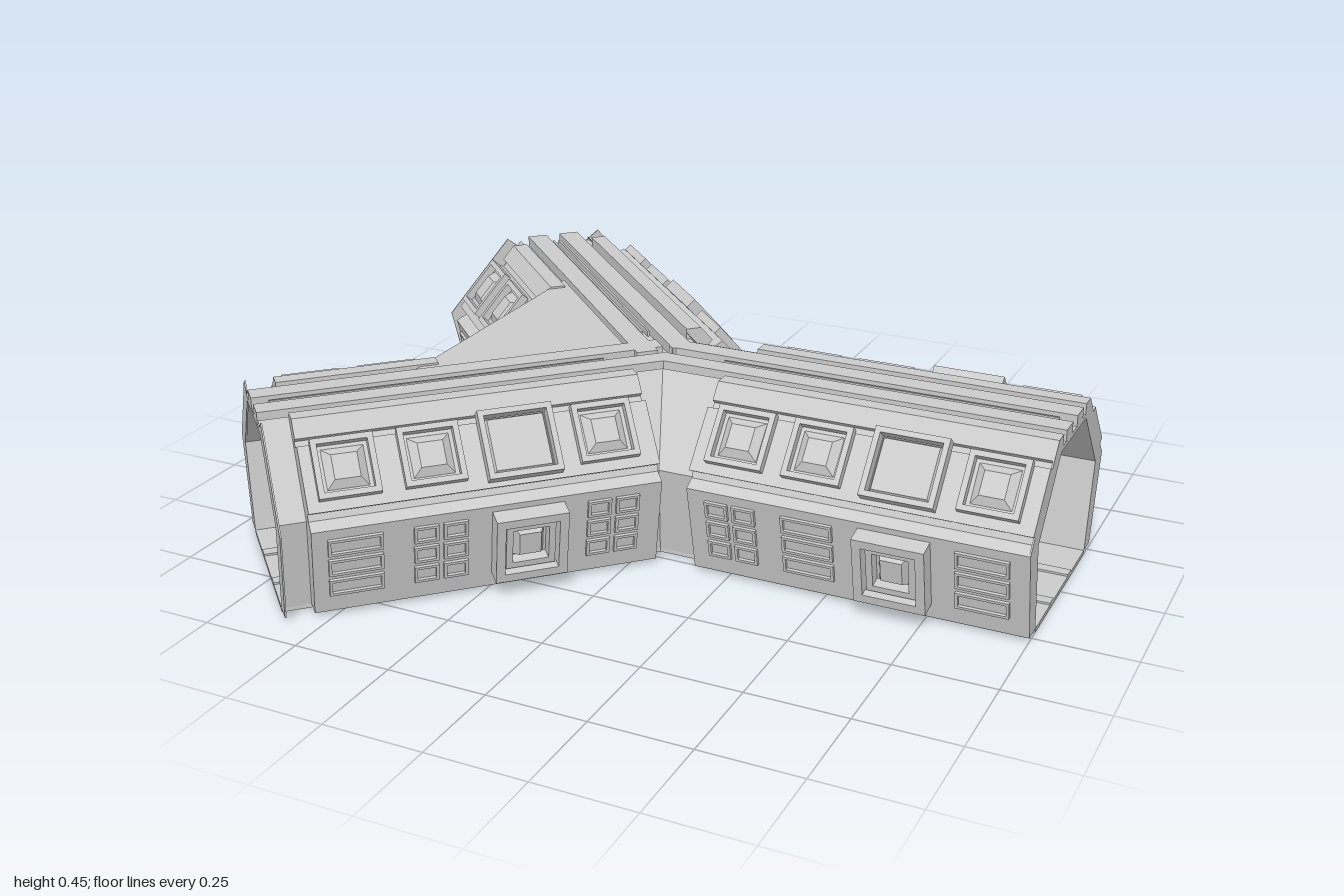
import * as THREE from 'three';

const mat = new THREE.MeshStandardMaterial({ color: 0xcccccc, flatShading: true, side: THREE.DoubleSide });
const R = Math.SQRT1_2;
const HUB = -0.05; // x where the axes of the two slanted arms meet

function add(parent, geo, name) {
  const m = new THREE.Mesh(geo, mat);
  m.name = name;
  parent.add(m);
  return m;
}

function box(parent, name, w, h, d, x, y, z) {
  const m = add(parent, new THREE.BoxGeometry(w, h, d), name);
  m.position.set(x, y, z);
  return m;
}

// Plan outline of the whole Y at half-width w, as [x, z]
function outline(w) {
  const at = (s, t) => [HUB + R * (t - s), R * (s + t)];
  const bx = -0.465 - 0.61 * w;
  const half = [[1, w], [HUB + w * (Math.SQRT2 - 1), w], at(1.03, w), at(1.03, -w),
    [bx, HUB - w * Math.SQRT2 - bx]];
  return [...half, ...half.map(([x, z]) => [x, -z]).reverse()];
}

function plate(parent, name, points, y, depth) {
  const shape = new THREE.Shape(points.map(([x, z]) => new THREE.Vector2(x, -z)));
  const geo = new THREE.ExtrudeGeometry(shape, { depth, bevelEnabled: false });
  geo.rotateX(-Math.PI / 2);
  add(parent, geo, name).position.y = y;
}

// Inner wall skin lofted between three outlines, open at the arm ends
function wallSkin(parent) {
  const levels = [[0.22, 0.01], [0.255, 0.24], [0.1, 0.44]];
  const rings = levels.map(([w, y]) => outline(w).map(([x, z]) => [x, y, z]));
  const pos = [];
  for (let k = 0; k < 2; k++) {
    for (let i = 0; i < 10; i++) {
      if (i === 2 || i === 6 || i === 9) continue;
      const j = (i + 1) % 10;
      const a = rings[k][i], b = rings[k][j], c = rings[k + 1][j], d = rings[k + 1][i];
      pos.push(...a, ...c, ...b, ...a, ...d, ...c);
    }
  }
  const geo = new THREE.BufferGeometry();
  geo.setAttribute('position', new THREE.Float32BufferAttribute(pos, 3));
  geo.computeVertexNormals();
  add(parent, geo, 'innerWall');
}

// Extrude a [z, y] section along the arm from s0 to s1
function alongArm(parent, name, section, side, s0, s1) {
  const shape = new THREE.Shape(section.map(([z, y]) => new THREE.Vector2(-side * z, y)));
  const geo = new THREE.ExtrudeGeometry(shape, { depth: s1 - s0, bevelEnabled: false });
  geo.rotateY(Math.PI / 2);
  add(parent, geo, name).position.x = s0;
}

// Group lying on a wall face: x along the arm, y up the face, z outward
function onFace(arm, side, upper, s, v, lift = 0) {
  const [z0, y0, z1, y1] = upper ? [0.32, 0.24, 0.14, 0.45] : [0.27, 0.01, 0.32, 0.24];
  const up = new THREE.Vector3(0, y1 - y0, side * (z1 - z0)).normalize();
  const along = new THREE.Vector3(side, 0, 0);
  const out = along.clone().cross(up);
  const g = new THREE.Group();
  g.matrixAutoUpdate = true;
  g.quaternion.setFromRotationMatrix(new THREE.Matrix4().makeBasis(along, up, out));
  g.position.set(s, y0 + (y1 - y0) * v, side * (z0 + (z1 - z0) * v)).addScaledVector(out, lift);
  arm.add(g);
  return g;
}

function rect(Type, w, h) {
  return new Type([[-1, -1], [1, -1], [1, 1], [-1, 1]].map(([x, y]) => new THREE.Vector2(x * w / 2, y * h / 2)));
}

function frame(parent, w, h, border, depth, z = 0) {
  const shape = rect(THREE.Shape, w, h);
  shape.holes.push(rect(THREE.Path, w - 2 * border, h - 2 * border));
  const geo = new THREE.ExtrudeGeometry(shape, { depth, bevelEnabled: false });
  add(parent, geo, 'panelFrame').position.z = z;
}

// Four-sided raised plate with sloping edges
function raisedPlate(parent, w, h, depth, taper) {
  const geo = new THREE.CylinderGeometry(taper * R, R, 1, 4);
  geo.rotateY(Math.PI / 4).rotateX(Math.PI / 2).scale(w, h, depth);
  add(parent, geo, 'raisedPlate').position.z = depth / 2;
}

function upperPanel(arm, side, s, big) {
  const g = onFace(arm, side, true, s, 0.5, 0.016);
  g.name = 'upperPanel';
  if (big) {
    frame(g, 0.18, 0.17, 0.014, 0.03);
    raisedPlate(g, 0.15, 0.14, 0.016, 0.9);
  } else {
    frame(g, 0.145, 0.145, 0.014, 0.022);
    raisedPlate(g, 0.1, 0.1, 0.018, 0.6);
  }
}

function lowerWindow(arm, side, s) {
  const g = onFace(arm, side, false, s, 0.55);
  g.name = 'lowerWindow';
  frame(g, 0.175, 0.18, 0.022, 0.045);
  frame(g, 0.12, 0.125, 0.016, 0.03);
  raisedPlate(g, 0.075, 0.085, 0.025, 0.7);
}

function lowerSlats(arm, side, s, columns) {
  const g = onFace(arm, side, false, s, 0.55);
  g.name = 'lowerSlats';
  const w = 0.14 / columns;
  for (let c = 0; c < columns; c++) {
    for (let r = -1; r <= 1; r++) {
      const slat = new THREE.Group();
      slat.position.set((c - (columns - 1) / 2) * w, r * 0.058, 0);
      frame(slat, w - 0.012, 0.045, 0.007, 0.008);
      g.add(slat);
    }
  }
}

// Thick outer cladding: lower wall, ledge groove, panel slab, trench and roof lip
const CLADDING = [[0.22, 0.01], [0.27, 0.01], [0.32, 0.24], [0.29, 0.255], [0.284, 0.27], [0.307, 0.282],
  [0.2, 0.405], [0.172, 0.39], [0.162, 0.402], [0.172, 0.412], [0.14, 0.45], [0.1, 0.45], [0.1, 0.42], [0.255, 0.24]];

function cladSide(arm, side, s0, s1, bays, bigBay) {
  alongArm(arm, 'cladding', CLADDING, side, s0, s1);
  bays.forEach((s, i) => {
    upperPanel(arm, side, s, i === bigBay);
    if (i === bigBay) lowerWindow(arm, side, s);
    else lowerSlats(arm, side, s, i % 2 ? 1 : 2);
  });
}

// Roof spine with a ribbed slot, floor strips and the flat end collar
function armCore(arm, s0, s1) {
  const len = s1 - s0, mid = (s0 + s1) / 2;
  for (const side of [1, -1]) {
    box(arm, 'roofSpine', len, 0.03, 0.055, mid, 0.435, side * 0.0475);
    box(arm, 'slotRib', len - 0.2, 0.015, 0.006, mid + 0.06, 0.435, side * 0.009);
    box(arm, 'floorStrip', len, 0.006, 0.03, mid, 0.012, side * 0.08);
    alongArm(arm, 'endCollar', [[0.22, 0.01], [0.27, 0.01], [0.32, 0.24], [0.14, 0.45], [0.1, 0.42], [0.255, 0.24]],
      side, s1 - 0.004, s1);
  }
}

export function createModel() {
  const model = new THREE.Group();
  model.name = 'corridorJunction';

  wallSkin(model);
  plate(model, 'floor', outline(0.22), 0, 0.01);
  plate(model, 'roof', outline(0.112), 0.41, 0.012);
  // Raised web of roof between the slanted arms
  plate(model, 'roofWeb', [[-0.17, 0], [-0.55, 0.38], [-0.55, -0.38]], 0.42, 0.025);
  // Outer face of the wall bridging the slanted arms
  const web = [[-0.63, 0.01], [-0.66, 0.24], [-0.55, 0.445], [-0.52, 0.43], [-0.62, 0.24], [-0.6, 0.01]];
  const webGeo = new THREE.ExtrudeGeometry(new THREE.Shape(web.map(([x, y]) => new THREE.Vector2(x, y))),
    { depth: 0.42, bevelEnabled: false });
  add(model, webGeo, 'bridgingWall').position.z = -0.21;

  // Straight arm
  const straight = new THREE.Group();
  straight.name = 'straightArm';
  model.add(straight);
  armCore(straight, HUB, 1);
  for (const side of [1, -1]) cladSide(straight, side, 0.16, 1, [0.27, 0.465, 0.68, 0.89], 2);

  // Two slanted arms, mirrored
  for (const m of [1, -1]) {
    const arm = new THREE.Group();
    arm.name = m > 0 ? 'frontArm' : 'backArm';
    arm.position.x = HUB;
    arm.rotation.y = -m * 0.75 * Math.PI;
    model.add(arm);
    armCore(arm, 0, 1.03);
    cladSide(arm, -m, 0.12, 0.96, [0.24, 0.45, 0.66, 0.86], 1);
    cladSide(arm, m, 0.56, 0.96, [0.67, 0.86], -1);
  }
  return model;
}
